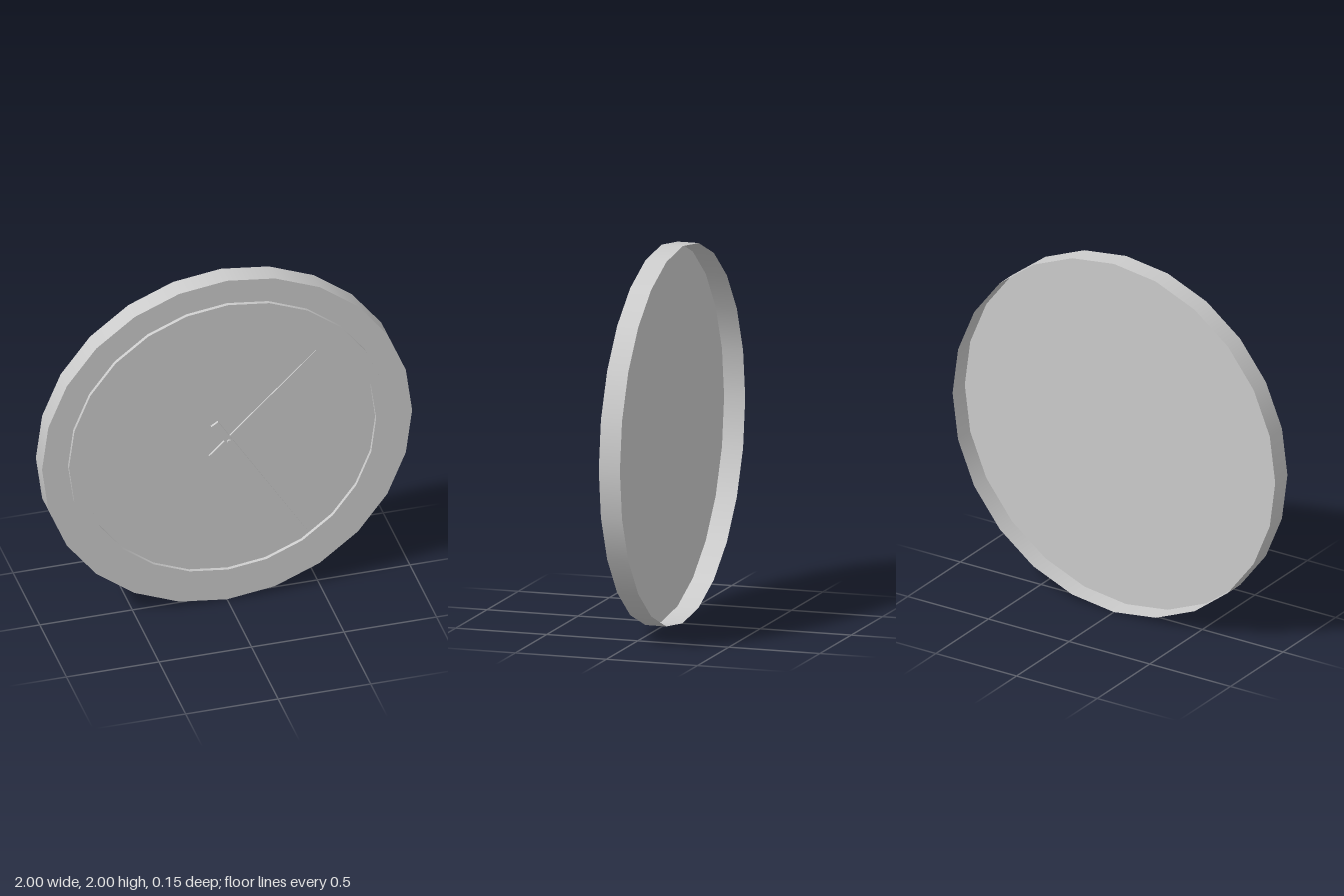
import * as THREE from 'three';

const SIDES = 24;
const BACK = -0.074, FACE = 0.042, RIM = 0.062, FRONT = 0.074;

export function createModel() {
  const clock = new THREE.Group();
  clock.name = 'wallClock';
  const material = new THREE.MeshStandardMaterial({ color: 0xcccccc, side: THREE.DoubleSide });

  function add(name, geometry, x = 0, y = 1, z = 0) {
    const mesh = new THREE.Mesh(geometry, material);
    mesh.name = name;
    mesh.position.set(x, y, z);
    clock.add(mesh);
    return mesh;
  }

  // Cylinder whose axis runs along z, between two depths
  function drum(radius, z0, z1, sides, open) {
    return new THREE.CylinderGeometry(radius, radius, z1 - z0, sides, 1, open)
      .rotateX(Math.PI / 2)
      .translate(0, 0, (z0 + z1) / 2);
  }

  // Casing: thin wall, open at the back, closed by the dial in front
  add('casingWall', drum(1, BACK, FACE, SIDES, true));
  add('dial', new THREE.CircleGeometry(1, SIDES), 0, 1, FACE);

  // Raised bezel around the dial
  add('bezelOuterWall', drum(0.86, FACE, RIM, SIDES, true));
  add('bezelInnerWall', drum(0.8, FACE, RIM, SIDES, true));
  add('bezelFront', new THREE.RingGeometry(0.8, 0.86, SIDES), 0, 1, RIM);

  // Hand: a box running from its wide tail to a sharp tip
  function hand(name, tail, tip, width, depth, z) {
    const from = new THREE.Vector2(...tail), to = new THREE.Vector2(...tip);
    const length = from.distanceTo(to);
    const geometry = new THREE.BoxGeometry(length, width, depth);
    const p = geometry.attributes.position;
    for (let i = 0; i < p.count; i++) {
      if (p.getX(i) > 0) p.setXYZ(i, p.getX(i), p.getY(i) * 0.06, p.getZ(i) * 0.3);
    }
    geometry.computeVertexNormals();
    const mesh = add(name, geometry, (from.x + to.x) / 2, (from.y + to.y) / 2, z);
    mesh.rotation.z = Math.atan2(to.y - from.y, to.x - from.x);
  }
  hand('hourHand', [-0.085, 0.91], [0.48, 1.48], 0.045, 0.012, 0.05);
  hand('minuteHand', [-0.073, 1.125], [0.43, 0.36], 0.045, 0.014, 0.058);

  // Centre pin holding the hands
  add('centrePin', drum(0.013, FACE, FRONT, 12, false), 0.005, 1.005);

  return clock;
}
